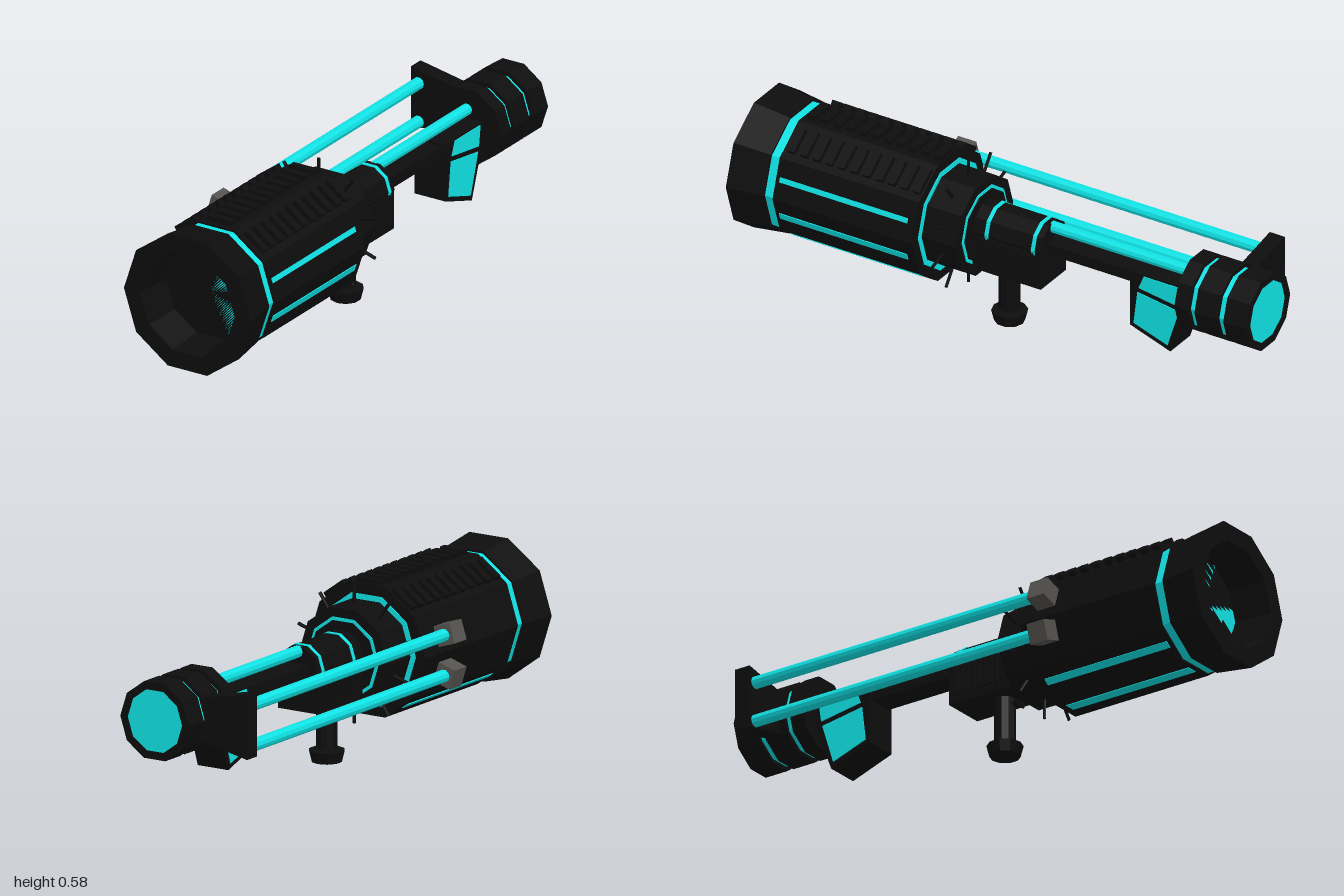
import * as THREE from 'three';

const mat = (color) => new THREE.MeshStandardMaterial({ color, flatShading: true, side: THREE.DoubleSide });

export function createModel() {
  const model = new THREE.Group();
  const black = mat(0x0d0d0d), cyan = mat(0x10e2e4), grey = mat(0x55534f);
  const CX = 0.025, BODY_Y = 0.337, REAR_Y = 0.355;

  const add = (name, geo, material, x = 0, y = 0, z = 0, parent = model) => {
    const m = new THREE.Mesh(geo, material);
    m.name = name;
    m.position.set(x, y, z);
    parent.add(m);
    return m;
  };
  const group = (name, x = 0, y = 0, z = 0) => {
    const g = new THREE.Group();
    g.name = name;
    g.position.set(x, y, z);
    model.add(g);
    return g;
  };
  const box = (name, w, h, d, material, x, y, z, parent) =>
    add(name, new THREE.BoxGeometry(w, h, d), material, x, y, z, parent);
  // Ten-sided drum lying along z, a corner pointing to +x
  const drum = (name, r0, r1, z0, z1, material, y, x = CX, sides = 10) =>
    add(name, new THREE.CylinderGeometry(r1, r0, z1 - z0, sides, 1, false, Math.PI / 2)
      .rotateX(Math.PI / 2), material, x, y, (z0 + z1) / 2);
  // Closed ring of [radius, z] points turned about the z axis
  const ring = (name, pts, material, y) =>
    add(name, new THREE.LatheGeometry(pts.map((p) => new THREE.Vector2(...p)), 10, Math.PI / 2)
      .rotateX(Math.PI / 2), material, CX, y, 0);
  // Side outline given as [z, y], extruded across x and centred on x
  const sidePlate = (name, pts, width, material, x) =>
    add(name, new THREE.ExtrudeGeometry(new THREE.Shape(pts.map(([z, y]) => new THREE.Vector2(-z, y))),
      { depth: width, bevelEnabled: false }).translate(0, 0, -width / 2).rotateY(Math.PI / 2), material, x);

  // Flared hollow front
  ring('frontBell', [[0, 0.862], [0.175, 0.862], [0.19, 1], [0.256, 1], [0.238, 0.86], [0, 0.86]], black, BODY_Y);
  drum('frontGlowRing', 0.23, 0.23, 0.82, 0.862, cyan, BODY_Y);

  // Main body and rear collar, with glowing seams on the rear faces
  drum('mainBody', 0.238, 0.238, 0.27, 0.825, black, BODY_Y);
  drum('rearCollar', 0.18, 0.18, 0.13, 0.275, black, BODY_Y);
  drum('bodySeam', 0.2, 0.2, 0.267, 0.28, cyan, BODY_Y);
  drum('collarSeam', 0.145, 0.145, 0.127, 0.14, cyan, BODY_Y);
  drum('collarCap', 0.133, 0.133, 0.123, 0.14, black, BODY_Y);

  // Group turned so that its local +y leaves the body through one face
  const faceGroup = (name, degrees) => {
    const g = group(name, CX, BODY_Y, 0);
    g.rotation.z = THREE.MathUtils.degToRad(degrees - 90);
    return g;
  };
  const apothem = 0.238 * Math.cos(Math.PI / 10);

  // Grip ribs on the three upper faces
  for (const a of [54, 90, 126]) {
    const g = faceGroup('gripRibs', a);
    for (let i = 0; i < 11; i++)
      box('rib', 0.094, 0.03, 0.028, black, 0, apothem + 0.003, 0.29 + i * 0.05, g);
  }

  // Glowing strips on the right and lower faces
  for (const [a, w] of [[18, 0.018], [-18, 0.025], [-54, 0.026], [-90, 0.04], [-126, 0.026]])
    box('glowStrip', w, 0.006, 0.51, cyan, 0, apothem, 0.555, faceGroup('stripFace', a));

  // Pins around the collar
  for (let i = 0; i < 10; i++)
    add('collarPin', new THREE.CylinderGeometry(0.006, 0.006, 0.08, 6), black, 0, 0.2, 0.195,
      faceGroup('pinFace', 18 + i * 36));

  // Neck: rounded top on a block, with side teeth and glow bands
  drum('neckTube', 0.083, 0.083, -0.145, 0.14, black, REAR_Y);
  box('neckBlock', 0.16, 0.15, 0.275, black, CX, 0.285, -0.007);
  for (const z of [0.07, -0.115]) drum('neckGlowBand', 0.086, 0.086, z - 0.007, z + 0.007, cyan, REAR_Y);
  for (const s of [-1, 1])
    for (let i = 0; i < 9; i++)
      box('neckTooth', 0.02, 0.105, 0.012, black, CX + s * 0.087, 0.292, -0.11 + i * 0.024);

  // Knob under the neck, and a small trigger
  add('knobStem', new THREE.CylinderGeometry(0.037, 0.037, 0.17, 10), black, CX, 0.135, 0.03);
  add('knobNeck', new THREE.CylinderGeometry(0.01, 0.01, 0.03, 8), black, CX, 0.045, 0.03);
  add('knobFoot', new THREE.CylinderGeometry(0.063, 0.053, 0.04, 10), black, CX, 0.02, 0.03);
  box('triggerArm', 0.02, 0.01, 0.04, black, CX, 0.185, 0.08);
  box('triggerTip', 0.02, 0.045, 0.008, black, CX, 0.187, 0.1);

  // Centre bar with a glow rod above it
  box('centreBar', 0.095, 0.04, 0.6, black, CX, REAR_Y, -0.43);
  drum('topGlowRod', 0.021, 0.021, -0.73, -0.14, cyan, 0.417);

  // Slanted grip with glowing side panels
  sidePlate('grip', [[-0.49, 0.385], [-0.72, 0.385], [-0.72, 0.32], [-0.65, 0.12], [-0.49, 0.175]], 0.125, black, CX);
  for (const s of [-1, 1]) {
    const x = CX + s * 0.0625;
    sidePlate('upperGripPanel', [[-0.545, 0.38], [-0.7, 0.38], [-0.69, 0.305], [-0.525, 0.33]], 0.006, cyan, x);
    sidePlate('lowerGripPanel', [[-0.52, 0.312], [-0.685, 0.287], [-0.64, 0.142], [-0.505, 0.188]], 0.006, cyan, x);
  }

  // Pommel of three drums on a glowing core
  drum('pommelCore', 0.125, 0.125, -0.95, -0.73, cyan, REAR_Y);
  for (const [z0, z1] of [[-0.772, -0.715], [-0.885, -0.795]])
    drum('pommelDrum', 0.14, 0.14, z0, z1, black, REAR_Y);
  ring('pommelEndDrum', [[0, -0.91], [0.14, -0.91], [0.14, -1], [0.112, -1], [0.112, -0.985]], black, REAR_Y);
  drum('pommelLens', 0.112, 0.112, -0.996, -0.98, cyan, REAR_Y);

  // Bracket carrying two long glow rods, each ending in a tilted block
  const bracket = new THREE.Shape([[-0.27, 0.237], [-0.27, 0.463], [-0.04, 0.42], [-0.04, 0.285]]
    .map((p) => new THREE.Vector2(...p)));
  add('rodBracket', new THREE.ExtrudeGeometry(bracket, { depth: 0.06, bevelEnabled: false }), black, 0, 0, -0.88);
  for (const [y, s] of [[0.409, -1], [0.267, 1]]) {
    drum('sideGlowRod', 0.022, 0.022, -0.83, 0.36, cyan, y, -0.239);
    box('rodEndBlock', 0.068, 0.072, 0.072, grey, -0.239, y, 0.38).rotation.z = s * Math.PI / 10;
  }

  return model;
}
